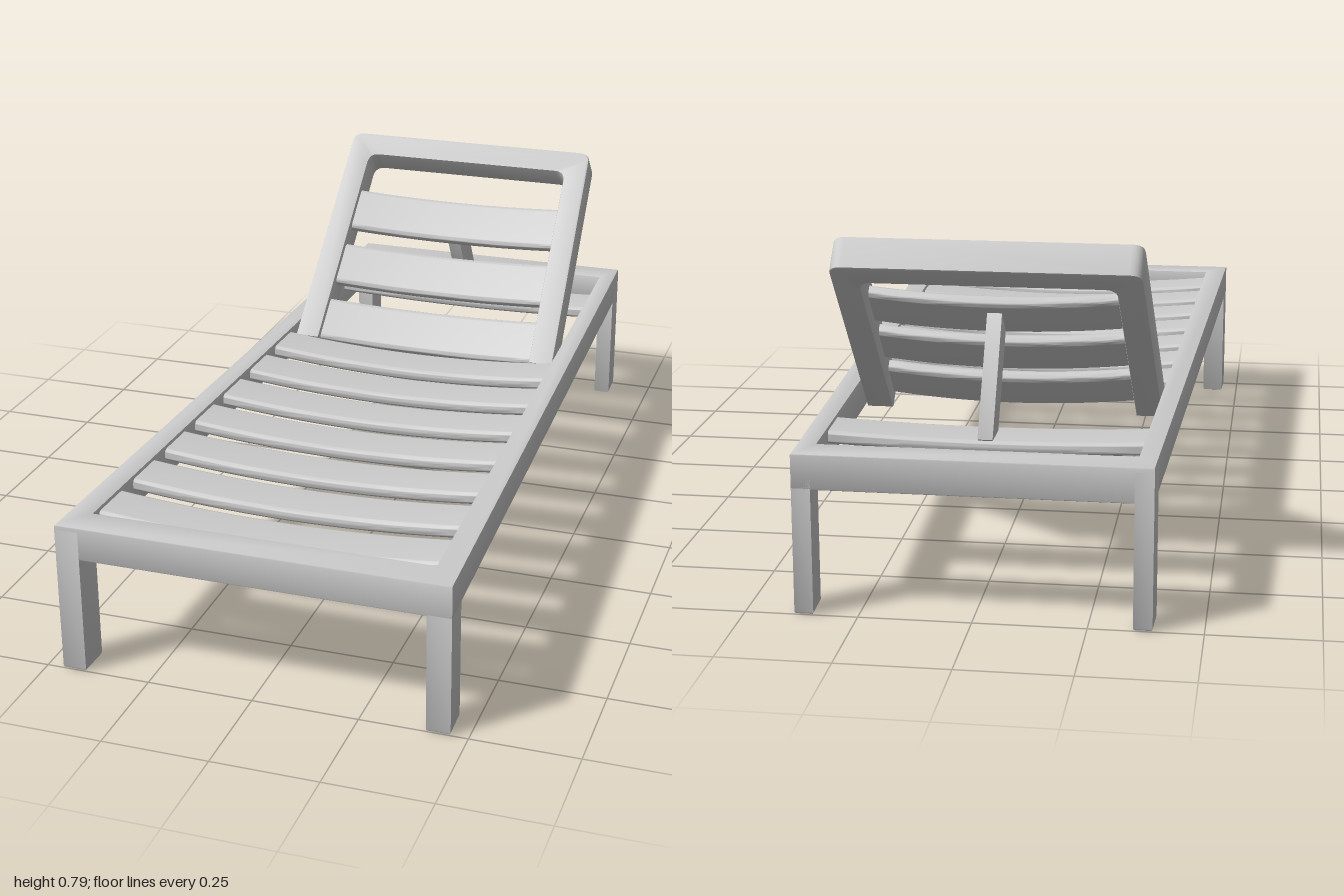
import * as THREE from 'three';
import { toCreasedNormals } from 'three/addons/utils/BufferGeometryUtils.js';

const material = new THREE.MeshStandardMaterial({ color: 0xcccccc });

function addMesh(parent, name, geometry) {
  const mesh = new THREE.Mesh(toCreasedNormals(geometry, 0.7), material);
  mesh.name = name;
  parent.add(mesh);
  return mesh;
}

// Extrusion along z from 0 to depth, with softened edges kept inside the outline
function softExtrude(shape, depth, bevel, steps = 1) {
  const geo = new THREE.ExtrudeGeometry(shape, {
    depth: depth - 2 * bevel, steps, curveSegments: 6, bevelEnabled: true,
    bevelThickness: bevel, bevelSize: bevel, bevelOffset: -bevel, bevelSegments: 2,
  });
  return geo.translate(0, 0, bevel);
}

// Horizontal slab: outline given as [x, z] points, from height y0 to y1
function slab(outline, y0, y1, bevel, hole) {
  const toPoints = (list) => list.map(([x, z]) => new THREE.Vector2(x, -z));
  const shape = new THREE.Shape(toPoints(outline));
  if (hole) shape.holes.push(new THREE.Path(toPoints(hole)));
  return softExtrude(shape, y1 - y0, bevel).rotateX(-Math.PI / 2).translate(0, y0, 0);
}

// Slat along x with rounded long edges, its middle dipping by sag
function slatGeometry(halfLength, width, thickness, sag) {
  const w = width / 2, t = thickness / 2, r = t * 0.8;
  const s = new THREE.Shape();
  s.moveTo(-w + r, -t);
  s.lineTo(w - r, -t);
  s.absarc(w - r, -t + r, r, -Math.PI / 2, 0);
  s.absarc(w - r, t - r, r, 0, Math.PI / 2);
  s.absarc(-w + r, t - r, r, Math.PI / 2, Math.PI);
  s.absarc(-w + r, -t + r, r, Math.PI, Math.PI * 1.5);
  const geo = new THREE.ExtrudeGeometry(s, {
    depth: halfLength * 2, steps: 20, curveSegments: 4, bevelEnabled: false,
  });
  geo.translate(0, 0, -halfLength).rotateY(Math.PI / 2);
  const p = geo.attributes.position;
  for (let i = 0; i < p.count; i++) {
    const u = p.getX(i) / halfLength;
    p.setY(i, p.getY(i) - sag * (1 - u * u));
  }
  return geo;
}

// Half-widths of the tapering bed frame
const outer = (z) => 0.425 + 0.035 * z;
const inner = (z) => 0.376 + 0.028 * z;

export function createModel() {
  const model = new THREE.Group();
  model.name = 'sunLounger';

  // Tapered frame
  const ring = (half, e) => [[-half(e), e], [half(e), e], [half(-e), -e], [-half(-e), -e]];
  addMesh(model, 'bedFrame', slab(ring(outer, 1), 0.285, 0.365, 0.003, ring(inner, 0.92)));

  // Four legs flush with the frame corners
  for (const [name, za, zb] of [['front', 1, 0.92], ['back', -0.92, -1]]) {
    for (const side of [1, -1]) {
      const foot = [
        [side * inner(za), za], [side * outer(za), za],
        [side * outer(zb), zb], [side * inner(zb), zb],
      ];
      addMesh(model, name + (side > 0 ? 'LeftLeg' : 'RightLeg'), slab(foot, 0, 0.36, 0.006));
    }
  }

  // Seat slats
  for (let i = 0; i < 7; i++) {
    const z = 0.832 - i * 0.1735;
    addMesh(model, 'seatSlat', slatGeometry(inner(z) + 0.012, 0.123, 0.03, 0.022))
      .position.set(0, 0.342, z);
  }

  // Rear slat that carries the prop
  addMesh(model, 'rearSlat', slatGeometry(inner(-0.74) + 0.012, 0.123, 0.03, 0.01))
    .position.set(0, 0.342, -0.74);

  // Reclined backrest: local y runs up its slope, local z is its front normal
  const back = new THREE.Group();
  back.name = 'backrest';
  back.position.set(0, 0.34, -0.285);
  back.rotation.x = -0.802;
  model.add(back);

  // U-shaped backrest frame, open at the bottom
  const top = 0.647, open = 0.582, r = 0.028;
  const u = new THREE.Shape();
  u.moveTo(-0.298, 0);
  u.lineTo(-0.285, open - r);
  u.quadraticCurveTo(-0.284, open, -0.284 + r, open);
  u.lineTo(0.284 - r, open);
  u.quadraticCurveTo(0.284, open, 0.285, open - r);
  u.lineTo(0.298, 0);
  u.lineTo(0.362, 0);
  u.lineTo(0.345, top - r);
  u.quadraticCurveTo(0.344, top, 0.344 - r, top);
  u.lineTo(-0.344 + r, top);
  u.quadraticCurveTo(-0.344, top, -0.345, top - r);
  u.lineTo(-0.362, 0);
  u.closePath();
  addMesh(back, 'backrestFrame', softExtrude(u, 0.081, 0.004).translate(0, 0, -0.081));

  // Backrest slats
  for (const y of [0.068, 0.241, 0.414]) {
    addMesh(back, 'backrestSlat', slatGeometry(0.305, 0.123, 0.03, 0.02).rotateX(Math.PI / 2))
      .position.set(0, y, -0.029);
  }

  // Prop from the rear slat to the top backrest slat
  const low = new THREE.Vector3(0, 0.33, -0.766), high = new THREE.Vector3(0, 0.585, -0.613);
  const half = 0.038;
  const section = new THREE.Shape([
    new THREE.Vector2(-0.017, -half), new THREE.Vector2(0.017, -half),
    new THREE.Vector2(0.017, half), new THREE.Vector2(-0.017, half),
  ]);
  const prop = addMesh(model, 'backrestProp', softExtrude(section, low.distanceTo(high), 0.003));
  prop.position.copy(low);
  prop.lookAt(high);

  return model;
}
